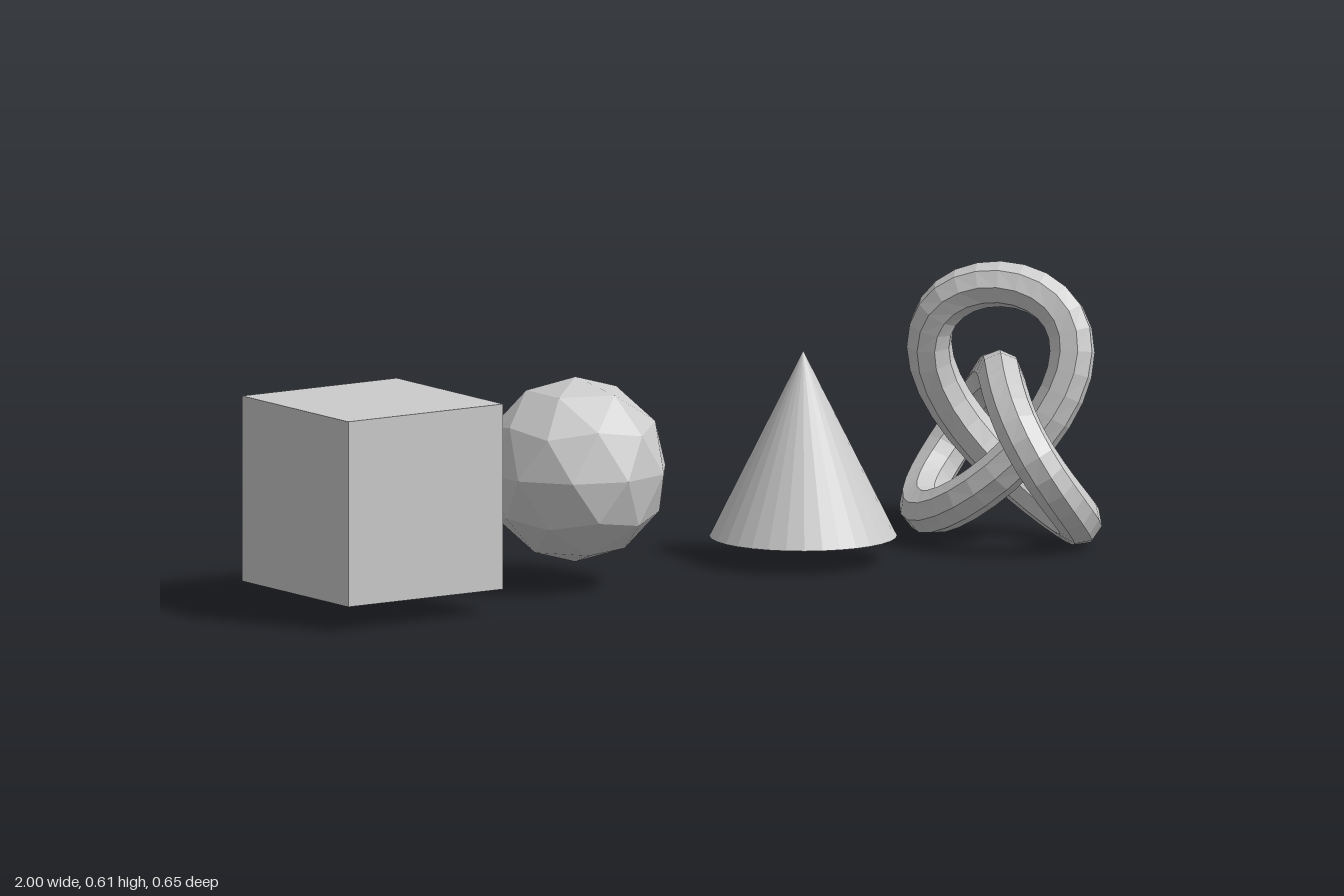
import * as THREE from 'three';

const material = new THREE.MeshStandardMaterial({ color: 0xcccccc, flatShading: true });

// Closed three-lobed knot around the x axis, sampled evenly by parameter
class TrefoilCurve extends THREE.Curve {
  constructor(scale) {
    super();
    this.scale = scale;
  }
  getPoint(u, target = new THREE.Vector3()) {
    const t = u * Math.PI * 2;
    return target.set(
      -Math.sin(3 * t),
      2 * Math.cos(2 * t) - Math.cos(t),
      Math.sin(t) + 2 * Math.sin(2 * t)
    ).multiplyScalar(this.scale);
  }
  getUtoTmapping(u) {
    return u;
  }
}

export function createModel() {
  const group = new THREE.Group();
  const half = 0.203;
  const centreY = 0.26;

  const add = (name, geometry, x, y = centreY) => {
    const mesh = new THREE.Mesh(geometry, material);
    mesh.name = name;
    mesh.position.set(x, y, 0);
    group.add(mesh);
  };

  // Cube
  add('cube', new THREE.BoxGeometry(2 * half, 2 * half, 2 * half), -0.797);

  // Faceted ball, turned so that a corner points straight up
  const ball = new THREE.IcosahedronGeometry(half, 1);
  ball.rotateZ(-Math.atan(2 / (1 + Math.sqrt(5))));
  add('facetedBall', ball, -0.265);

  // Cone
  add('cone', new THREE.ConeGeometry(half, 2 * half, 32), 0.332);

  // Knotted ring with an eight-sided tube
  add('knot', new THREE.TubeGeometry(new TrefoilCurve(0.1005), 64, 0.05, 8, true), 0.85, 0.2575);

  return group;
}
